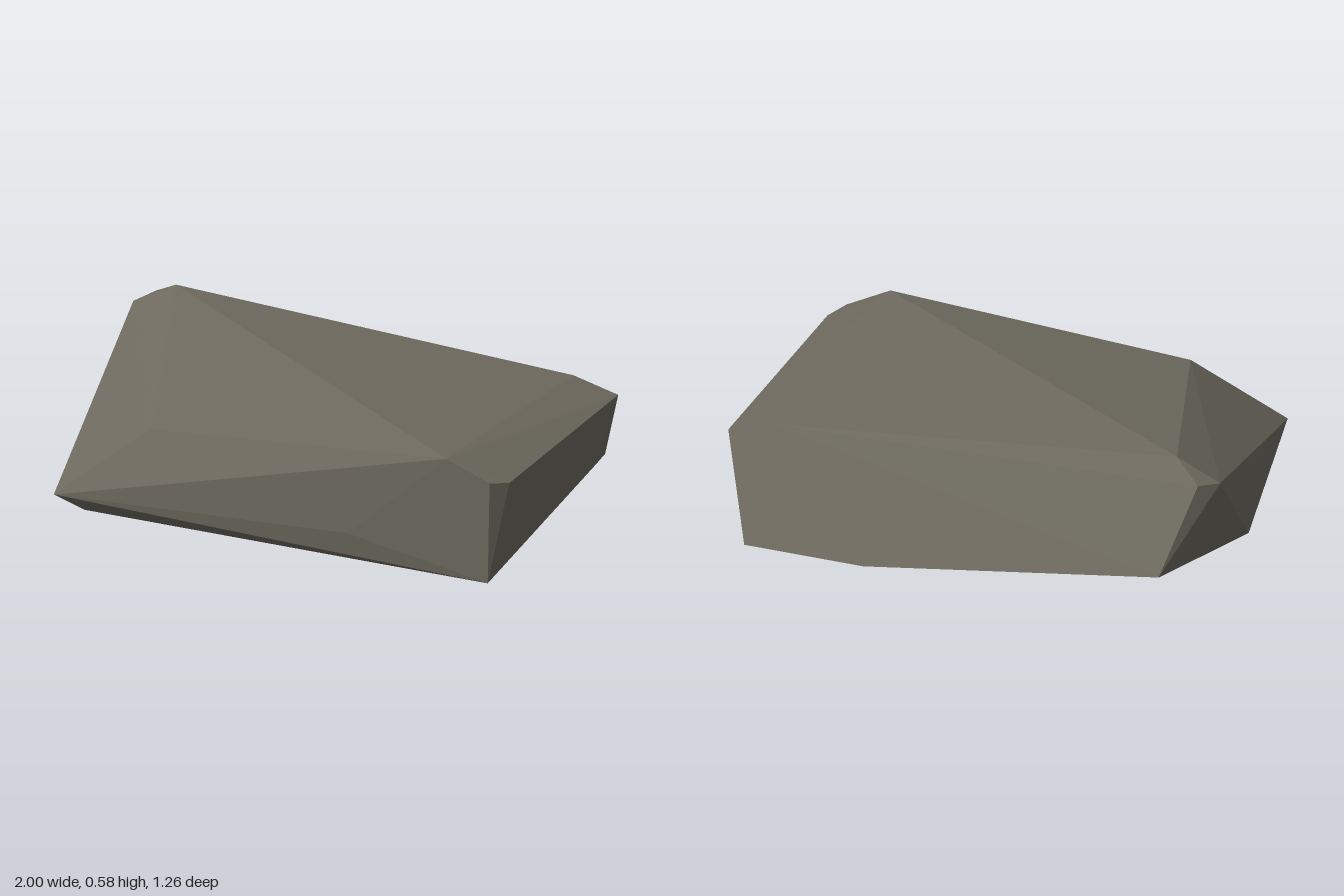
import * as THREE from 'three';
import { ConvexGeometry } from 'three/addons/geometries/ConvexGeometry.js';

// Corners of the slab-like boulder, grouped by region [x, y, z]
const TOP = [
  [-0.78, 0.585, -0.38], [-0.95, 0.49, -0.38], [-0.88, 0.51, -0.45],
  [-0.61, 0.435, 0.52], [0.59, 0.52, 0.59], [0.82, 0.455, -0.335],
];
const SIDES = [
  [-0.965, 0.155, 0.63], [-1, 0.115, -0.13], [0.2, 0.15, 0.607],
  [0.76, 0.435, 0.582], [0.82, 0.415, 0.52], [1, 0.4, -0.33],
  [0.94, 0.14, -0.23], [-0.77, 0.19, -0.63],
];
const BOTTOM = [
  [0.75, 0, 0.575], [-0.86, 0.075, 0.57], [-0.25, 0.025, 0.1],
  [0.885, 0.025, -0.54], [0.4, 0.045, -0.608],
];

export function createModel() {
  const group = new THREE.Group();
  group.name = 'boulder';

  const stone = new THREE.MeshStandardMaterial({ color: 0x6e6a5f, flatShading: true });
  stone.name = 'stone';

  // Faceted convex rock body
  const corners = [...TOP, ...SIDES, ...BOTTOM].map((p) => new THREE.Vector3(...p));
  const rock = new THREE.Mesh(new ConvexGeometry(corners), stone);
  rock.name = 'rock';
  group.add(rock);

  return group;
}
